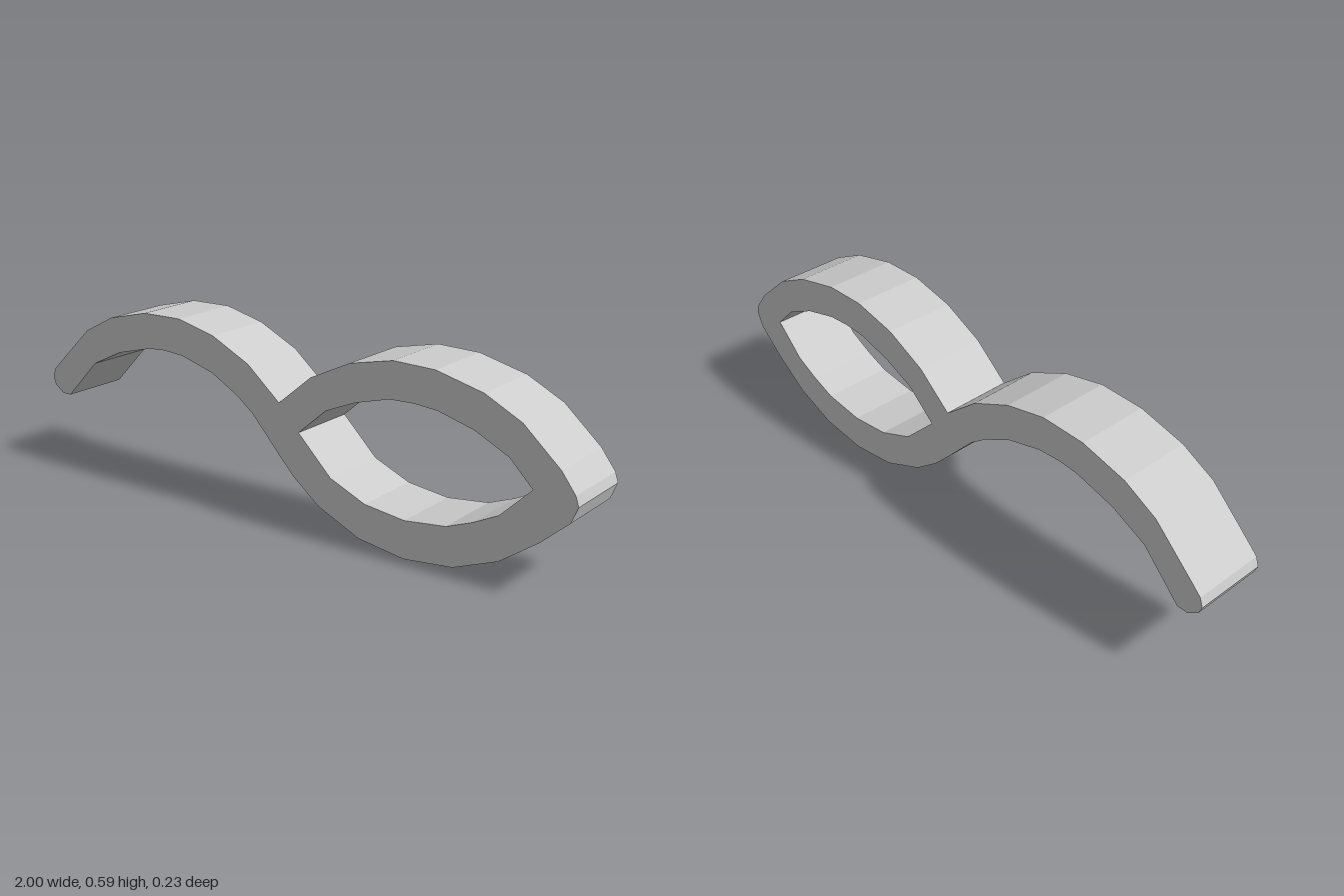
import * as THREE from 'three';

const DEPTH = 0.235;

// Outer edge: wave-shaped arm on the left flowing into a pointed loop on the right
const outline = [
  // lower edge of the loop, left to right
  [0, 0.222], [0.06, 0.16], [0.15, 0.09], [0.3, 0.023], [0.46, 0], [0.625, 0.018], [0.77, 0.075],
  [0.89, 0.16], [0.98, 0.24], [1, 0.29],
  // upper edge of the loop, right to left
  [0.99, 0.32], [0.945, 0.38], [0.825, 0.487], [0.705, 0.547], [0.55, 0.585], [0.41, 0.588],
  [0.26, 0.555], [0.12, 0.488], [0, 0.388],
  // upper edge of the arm
  [-0.12, 0.488], [-0.26, 0.555], [-0.4, 0.588], [-0.55, 0.585], [-0.705, 0.547], [-0.82, 0.487],
  // rounded tip
  [-0.965, 0.35], [-0.99, 0.325], [-1, 0.295], [-0.99, 0.27], [-0.955, 0.245], [-0.92, 0.245],
  // lower edge of the arm
  [-0.79, 0.378], [-0.67, 0.435], [-0.535, 0.47], [-0.47, 0.475], [-0.39, 0.47], [-0.265, 0.435],
  [-0.165, 0.38], [-0.105, 0.335],
];

// Pointed almond opening
const opening = [
  [0.075, 0.308], [0.175, 0.395], [0.28, 0.44], [0.4, 0.473], [0.485, 0.476], [0.56, 0.47],
  [0.68, 0.437], [0.79, 0.383], [0.865, 0.308], [0.765, 0.21], [0.685, 0.17], [0.6, 0.137],
  [0.46, 0.12], [0.32, 0.137], [0.195, 0.19],
];

const toPoints = (list) => list.map(([x, y]) => new THREE.Vector2(x, y));

export function createModel() {
  const grey = new THREE.MeshStandardMaterial({ color: 0xcccccc });
  grey.name = 'light grey';

  const shape = new THREE.Shape(toPoints(outline));
  shape.holes.push(new THREE.Path(toPoints(opening)));

  // Flat-sided extrusion centred on z
  const geometry = new THREE.ExtrudeGeometry(shape, { depth: DEPTH, bevelEnabled: false });
  geometry.translate(0, 0, -DEPTH / 2);

  const band = new THREE.Mesh(geometry, grey);
  band.name = 'loopedBand';

  const model = new THREE.Group();
  model.name = 'loopedHook';
  model.add(band);
  return model;
}
